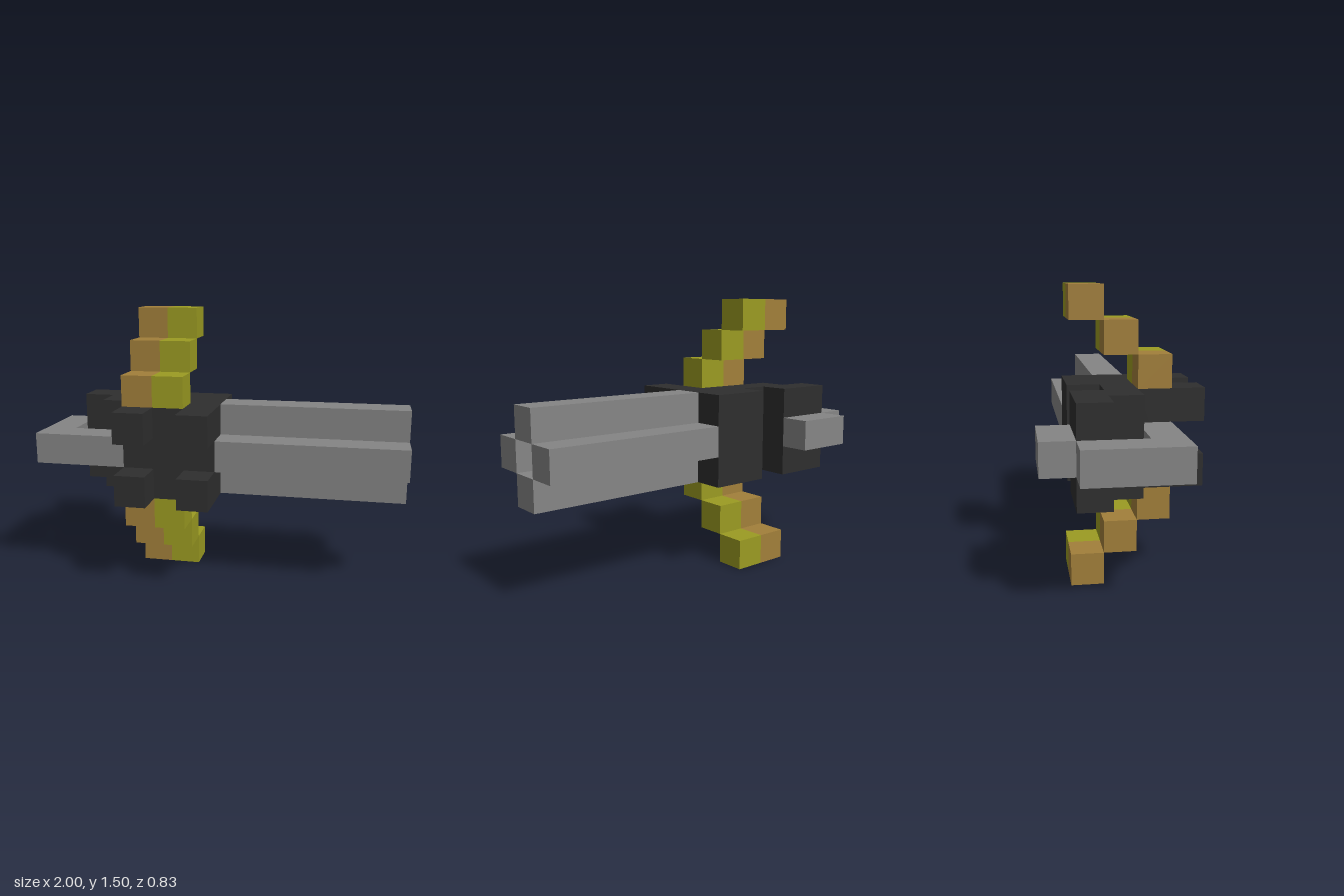
import * as THREE from 'three';

const U = 1 / 6; // one grid cell
const X = (i) => -1 + i * U;
const Z = (k) => (k - 2.5) * U;

export function createModel() {
  const model = new THREE.Group();
  model.name = 'blockBlaster';

  const mat = (name, color) => {
    const m = new THREE.MeshStandardMaterial({ color });
    m.name = name;
    return m;
  };
  const grey = mat('grey', 0x858585);
  const dark = mat('charcoal', 0x2e2e2e);
  const brown = mat('brown', 0xa27f3a);
  const olive = mat('olive', 0x9b9b22);

  const add = (name, geometry, material) => {
    const mesh = new THREE.Mesh(geometry, material);
    mesh.name = name;
    model.add(mesh);
    return mesh;
  };

  // Box given by its first cell and its size in cells
  const block = (name, material, [i, j, k], [w, h, d]) =>
    add(name, new THREE.BoxGeometry(w * U, h * U, d * U), material)
      .position.set(X(i + w / 2), (j + h / 2) * U, Z(k + d / 2));

  // Plan outline in cells (x, z), raised from row j by h cells
  const slab = (name, material, points, j, h) => {
    const shape = new THREE.Shape(points.map(([i, k]) => new THREE.Vector2(X(i), -Z(k))));
    const geometry = new THREE.ExtrudeGeometry(shape, { depth: h * U, bevelEnabled: false });
    geometry.rotateX(-Math.PI / 2);
    geometry.translate(0, j * U, 0);
    add(name, geometry, material);
  };

  // Central body with its stepped grip and rear notch
  slab('body', dark, [
    [3, 4], [6, 4], [6, 1], [4, 1], [4, 2], [3, 2],
    [3, 1], [1, 1], [1, 2], [2, 2], [2, 3], [3, 3],
  ], 3, 3);

  // Four front studs
  for (const i of [3, 5]) {
    for (const j of [3, 5]) block('frontStud', dark, [i, j, 4], [1, 1, 1]);
  }

  // Handle loop and rear block
  slab('handleLoop', grey, [[0, 1], [1, 1], [1, 3], [3, 3], [3, 4], [0, 4]], 4, 1);
  block('rearBlock', grey, [1, 4, 0], [2, 1, 1]);

  // Hollow barrel made of four bars around an empty core
  for (const [j, k] of [[5, 2], [3, 2], [4, 1], [4, 3]]) {
    block('barrelBar', grey, [6, j, k], [6, 1, 1]);
  }

  // Stepped limbs sweeping backwards, above and below
  for (let s = 0; s < 3; s++) {
    for (const j of [6 + s, 2 - s]) {
      block('limbStepBrown', brown, [3, j, 3 - s], [1, 1, 1]);
      block('limbStepOlive', olive, [4, j, 3 - s], [1, 1, 1]);
    }
  }

  return model;
}
